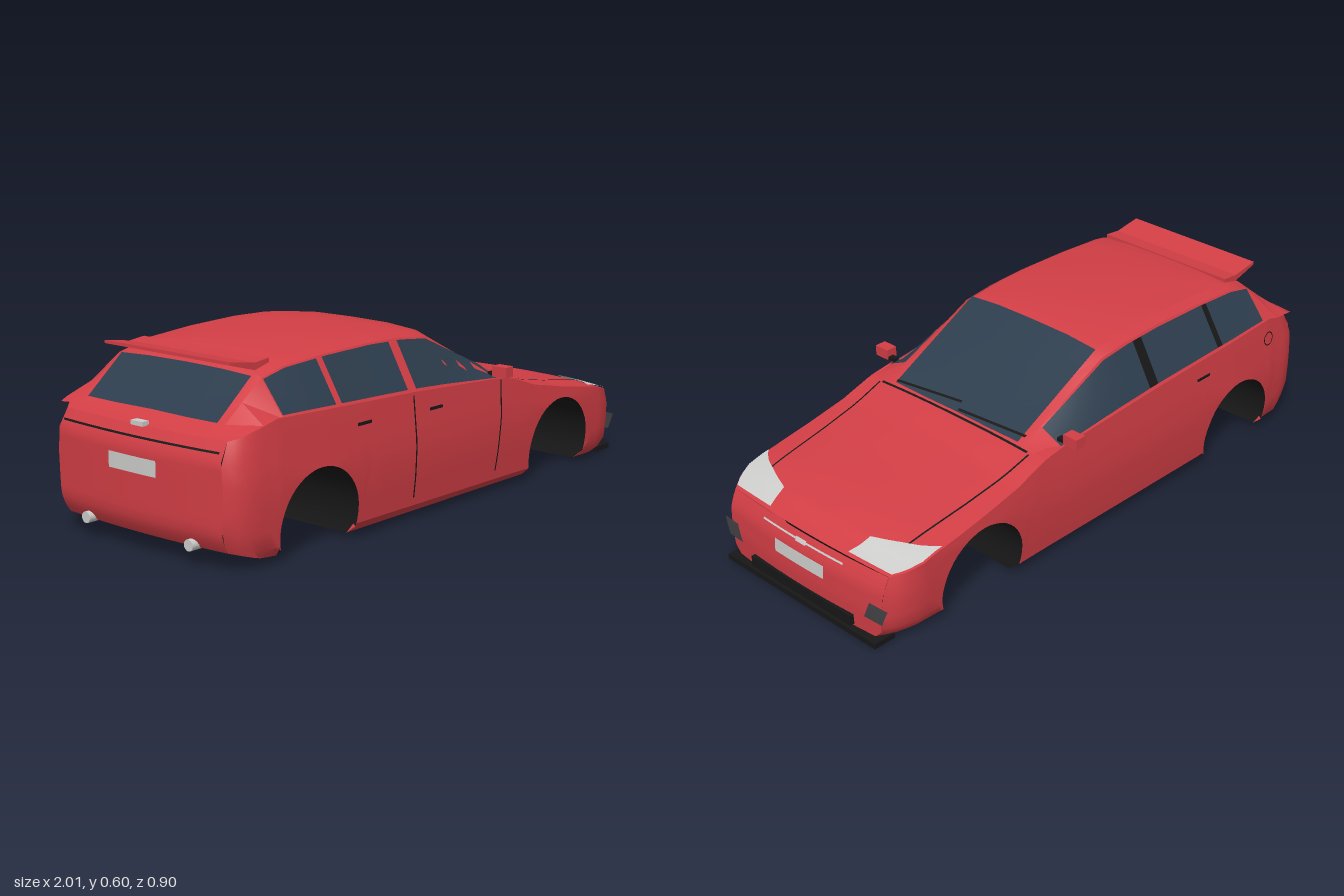
import * as THREE from 'three';
import { toCreasedNormals } from 'three/addons/utils/BufferGeometryUtils.js';

const mat = (name, color) => new THREE.MeshStandardMaterial({ name, color, side: THREE.DoubleSide });
const lerp = (a, b, t) => a + (b - a) * t;

// piecewise linear lookup in a list of [key, value]
function look(table, k) {
  if (k <= table[0][0]) return table[0][1];
  for (let i = 1; i < table.length; i++) {
    const [k0, v0] = table[i - 1], [k1, v1] = table[i];
    if (k <= k1) return lerp(v0, v1, (k - k0) / (k1 - k0));
  }
  return table[table.length - 1][1];
}

// body curves: half width along the length, width factor by height, shoulder and crown heights
const PLAN = [[-1, 0.35], [-0.97, 0.38], [-0.92, 0.397], [-0.8, 0.406], [-0.6, 0.41], [-0.2, 0.408],
  [0.3, 0.403], [0.7, 0.402], [0.88, 0.398], [0.95, 0.38], [1, 0.35]];
const SECTION = [[0, 0.83], [0.04, 0.96], [0.15, 0.99], [0.25, 1], [0.4, 0.965], [0.45, 0.95]];
const BELT = [[-1, 0.385], [-0.93, 0.41], [-0.8, 0.432], [-0.2, 0.41], [0.25, 0.383], [0.33, 0.37],
  [0.45, 0.33], [0.6, 0.3], [0.75, 0.275], [0.9, 0.252], [1, 0.232]];
const CROWN = [[-1, 0.385], [-0.93, 0.412], [-0.8, 0.432], [-0.2, 0.41], [0.25, 0.385], [0.33, 0.382],
  [0.45, 0.347], [0.6, 0.32], [0.75, 0.298], [0.9, 0.268], [1, 0.236]];
const ROOF = [[-0.95, 0.405], [-0.92, 0.425], [-0.77, 0.555], [-0.68, 0.58], [-0.5, 0.594], [-0.3, 0.6],
  [-0.15, 0.595], [-0.03, 0.58], [0.33, 0.382]];
const NOSE = [[0, 0.985], [0.1, 0.99], [0.18, 0.985], [0.22, 0.968], [0.25, 0.95]];
const TAIL = [[0.02, 0.93], [0.05, 0.965], [0.09, 0.99], [0.12, 1], [0.33, 1], [0.385, 0.968], [0.42, 0.94]];
const FLOOR = [[-1, 0.06], [-0.9, 0.03], [-0.785, 0.02], [0.755, 0.012], [1, 0.005]];

const width = (x, y) => look(PLAN, x) * look(SECTION, y);
const belt = (x) => look(BELT, x);

// rounds the nose and tail
function ends(x, y, z) {
  const e = Math.max(0, (Math.abs(x) - 0.8) / 0.2), s = Math.sign(x);
  if (e > 0) x = s * (lerp(0.8, look(x > 0 ? NOSE : TAIL, y), e) - 0.02 * e * (z / 0.36) ** 2);
  return [x, y, z];
}
function deck(x, s, lift = 0) {
  const y = lerp(belt(x), look(CROWN, x), 1 - Math.abs(s) ** 2.5);
  const p = ends(x, y, s * width(x, belt(x)));
  p[1] += lift;
  return p;
}
// point on the nose (dir 1) or tail (dir -1)
function endFace(dir, y, z, lift = 0.004) {
  const p = ends(dir, y, z);
  p[0] += dir * lift;
  return p;
}
const flank = (x, y, side) => [x, y, side * (width(x, y) + 0.003)];

// cabin section: 0 belt, 1 roof edge, 2 pillar edge, 3 shoulder, 4 centre
function cabin(x, t, side, lift = 0) {
  const b = belt(x), r = Math.max(look(ROOF, x), b), h = r - b;
  const pts = [[width(x, b) - 0.003, b - 0.004], [0.3, b + h * 0.83], [0.27, b + h * 0.93], [0.15, r - 0.002], [0, r]];
  const i = Math.min(3, Math.floor(t)), f = t - i;
  return [x, lerp(pts[i][1], pts[i + 1][1], f) + lift, side * (lerp(pts[i][0], pts[i + 1][0], f) + lift)];
}

// grid surface from a rule f(u, v); u and v are lists of values
function surface(us, vs, f, crease = 0.6) {
  const pos = [], idx = [], n = vs.length;
  us.forEach((u) => vs.forEach((v) => pos.push(...f(u, v))));
  for (let i = 0; i < us.length - 1; i++) for (let j = 0; j < n - 1; j++) {
    const a = i * n + j, b = a + n;
    idx.push(a, b, a + 1, b, b + 1, a + 1);
  }
  const g = new THREE.BufferGeometry();
  g.setAttribute('position', new THREE.Float32BufferAttribute(pos, 3));
  g.setIndex(idx);
  return toCreasedNormals(g, crease);
}
const steps = (a, b, n) => Array.from({ length: n + 1 }, (_, i) => lerp(a, b, i / n));

export function createModel() {
  const car = new THREE.Group();
  car.name = 'car';
  const paint = mat('red paint', 0xd23e45), glass = mat('dark glass', 0x2d3d4d), black = mat('black trim', 0x171717);
  const silver = mat('light silver', 0xcdcdcb), grey = mat('dark grey lamp', 0x424245);
  const add = (name, geo, m) => {
    const mesh = new THREE.Mesh(geo, m);
    mesh.name = name;
    car.add(mesh);
    return mesh;
  };
  const box = (name, m, w, h, d, x, y, z) => {
    const b = add(name, new THREE.BoxGeometry(w, h, d), m);
    b.position.set(x, y, z);
    return b;
  };

  // columns follow the lower outline, including both wheel arches, and fan up to the belt
  const cols = [];
  const straight = (b0, b1, t0, t1, n) => steps(0, 1, n).forEach((f) => {
    const bx = lerp(b0, b1, f);
    cols.push({ bx, by: look(FLOOR, bx), tx: lerp(t0, t1, f) });
  });
  const arch = (c) => steps(0, 1, 28).slice(1, -1).forEach((f) => {
    const a = lerp(Math.PI + 0.44, -0.44, f);
    cols.push({ bx: c + 0.17 * Math.cos(a), by: 0.091 + 0.17 * Math.sin(a), tx: lerp(c - 0.3, c + 0.3, f) });
  });
  straight(-1, -0.782, -1, -0.93, 6);
  arch(-0.628);
  straight(-0.474, 0.446, -0.328, 0.3, 10);
  arch(0.6);
  straight(0.754, 1, 0.9, 1, 7);

  const sidePoint = (c, t, side) => {
    const x = lerp(c.bx, c.tx, t), y = lerp(c.by, belt(c.tx), t);
    return ends(x, y, side * width(x, y));
  };
  // section runs up one side, over the bonnet and down the other
  const rows = [0, 0.08, 0.22, 0.4, 0.6, 0.8, 1];
  const section = [...rows.map((t) => [1, t]), ...steps(0.9, -0.9, 12).map((s) => [0, s]),
    ...rows.slice().reverse().map((t) => [-1, t])];
  add('bodyShell', surface(cols, section, (c, [side, t]) => (side ? sidePoint(c, t, side) : deck(c.tx, t))), paint);
  add('underbody', surface(cols, [-1, 0, 1], (c, s) => {
    const p = sidePoint(c, 0, 1);
    return [p[0], p[1], p[2] * s];
  }), black);
  for (const dir of [1, -1]) {
    const low = look(FLOOR, dir);
    add(dir > 0 ? 'nosePanel' : 'tailPanel', surface(steps(low, belt(dir), 12), steps(-1, 1, 12),
      (y, s) => ends(dir, y, s * width(dir, y))), paint);
  }

  // cabin and roof
  const cabinX = [-0.95, -0.92, -0.85, -0.77, -0.72, -0.68, -0.6, -0.5, -0.4, -0.3, -0.22, -0.15, -0.09, -0.03, 0.06, 0.15, 0.25, 0.33];
  add('cabin', surface(cabinX, [0, 1, 2, 3, 4, 5, 6, 7, 8],
    (x, t) => (t <= 4 ? cabin(x, t, 1) : cabin(x, 8 - t, -1)), 0.4), paint);
  const span = (a, b) => [a, ...cabinX.filter((x) => x > a && x < b), b];
  const across = (x, t) => (t <= 4 ? cabin(x, t, 1, 0.004) : cabin(x, 8 - t, -1, 0.004));
  add('windscreen', surface(span(-0.03, 0.325), [2, 3, 4, 5, 6], across), glass);
  add('rearWindow', surface(span(-0.925, -0.785), [2, 3, 4, 5, 6], across), glass);
  for (const side of [1, -1]) {
    const pane = (name, a, b, m) => add(name,
      surface(span(a, b), [0.06, 0.5, 0.95], (x, t) => cabin(x, t, side, 0.003)), m);
    pane('quarterWindow', -0.77, -0.545, glass);
    pane('rearDoorWindow', -0.52, -0.212, glass);
    pane('frontDoorWindow', -0.172, 0.25, glass);
    if (side < 0) {
      pane('rearPillarTrim', -0.545, -0.52, black);
      pane('middlePillarTrim', -0.212, -0.172, black);
    }
  }

  // roof spoiler
  const spoilerShape = new THREE.Shape([[-0.86, 0.588], [-0.86, 0.578], [-0.76, 0.55], [-0.7, 0.565], [-0.7, 0.578], [-0.76, 0.572]]
    .map(([x, y]) => new THREE.Vector2(x, y)));
  add('spoiler', new THREE.ExtrudeGeometry(spoilerShape, { depth: 0.53, bevelEnabled: false }), paint).position.z = -0.265;

  // door mirrors, exhausts, headlamps
  for (const side of [1, -1]) {
    box('mirror', paint, 0.04, 0.035, 0.055, 0.23, 0.413, side * 0.422);
    box('mirrorArm', black, 0.02, 0.012, 0.04, 0.235, 0.4, side * 0.385);
    const pipe = add('exhaust', new THREE.CylinderGeometry(0.018, 0.018, 0.07, 16), silver);
    pipe.rotation.z = Math.PI / 2;
    pipe.position.set(-0.96, 0.07, side * 0.22);
    add('headlamp', surface(steps(0, 1, 8), steps(0.5, 0.99, 8), (f, s) => {
      const back = look([[0.5, 0.9], [0.65, 0.87], [0.85, 0.82], [0.99, 0.77]], s);
      return deck(lerp(back, 0.99, f), s * side, 0.005);
    }), silver);
    // bonnet shut line
    add('bonnetLine', surface(steps(0.34, 0.86, 12), [-0.003, 0.003], (x, w) =>
      deck(x, side * (lerp(0.335, 0.31, (x - 0.34) / 0.52) + w) / width(x, belt(x)), 0.003)), black);
    // fog lamps
    add('fogLamp', surface([0, 0.5, 1], [0, 0.5, 1], (u, v) => endFace(1, lerp(0.08, 0.137, v) + 0.004 * (0.5 - u),
      side * (lerp(0.28, 0.35, u) + 0.022 * v), 0.007)), grey);
    // door handles and shut lines
    const mark = (name, x0, y0, x1, y1, w) => add(name, surface(steps(0, 1, 10), [-w, w],
      (f, d) => flank(lerp(x0, x1, f) + (x0 - x1 ? d * (y0 !== y1) : d), lerp(y0, y1, f) + (y0 === y1 ? d : 0), side)), black);
    mark('rearHandle', -0.465, 0.357, -0.4, 0.357, 0.005);
    if (side > 0) {
      mark('frontHandle', -0.12, 0.345, -0.055, 0.345, 0.005);
      mark('doorLine', -0.195, 0.4, -0.195, 0.075, 0.003);
      mark('frontDoorLine', 0.26, 0.378, 0.235, 0.075, 0.003);
    }
  }
  add('bonnetRearLine', surface([0.333, 0.341], steps(-0.83, 0.83, 12), (x, s) => deck(x, s, 0.004)), black);
  add('fuelFlap', surface(steps(0, Math.PI * 2, 24), [0.021, 0.025], (a, r) =>
    flank(-0.79 + r * Math.cos(a), 0.365 + r * Math.sin(a), -1)), black);

  // wipers lie on the windscreen
  for (const [z0, x0, z1, x1] of [[0.27, 0.322, 0.0, 0.295], [-0.01, 0.32, -0.29, 0.305]]) {
    add('wiper', surface(steps(0, 1, 6), [-0.004, 0.004], (f, w) => {
      const x = lerp(x0, x1, f) + w;
      return [x, look(ROOF, x) + 0.009, lerp(z0, z1, f)];
    }), black);
  }

  // nose and tail details
  const panel = (name, m, dir, y0, y1, z0, z1, lift = 0.005) => add(name,
    surface([y0, (y0 + y1) / 2, y1], steps(z0, z1, 10), (y, z) => endFace(dir, y, z, lift)), m);
  panel('frontPlate', silver, 1, 0.135, 0.18, -0.11, 0.11);
  panel('noseTrim', silver, 1, 0.21, 0.216, -0.18, 0.18);
  panel('noseTrimCentre', silver, 1, 0.207, 0.221, -0.023, 0.023, 0.007);
  panel('rearPlate', silver, -1, 0.25, 0.3, -0.1, 0.1);
  panel('tailgateLine', black, -1, 0.352, 0.358, -0.33, 0.33);
  box('tailgateHandle', silver, 0.025, 0.014, 0.05, -0.968, 0.392, 0);
  box('lowerGrille', black, 0.03, 0.035, 0.455, 0.98, 0.043, 0);
  box('splitter', black, 0.08, 0.018, 0.68, 0.96, 0.009, 0);
  return car;
}
